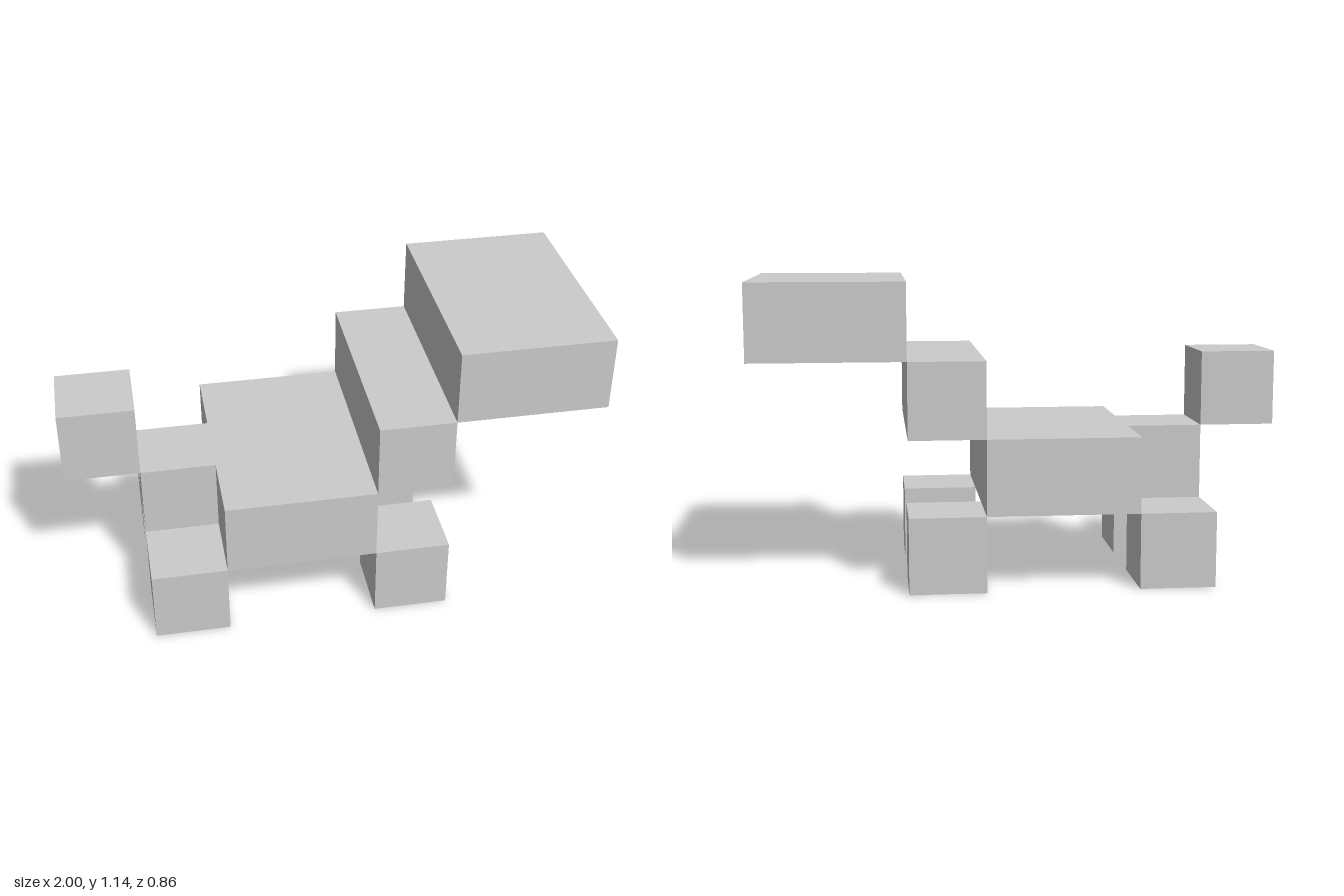
import * as THREE from 'three';

const U = 2 / 7; // one block; the model is seven blocks long

export function createModel() {
  const model = new THREE.Group();
  const material = new THREE.MeshStandardMaterial({ color: 0xcccccc, flatShading: true });

  // Box from block coordinates: x from the tail end, y from the ground, z from the middle
  function block(name, [x0, x1], [y0, y1], [z0, z1]) {
    const geometry = new THREE.BoxGeometry((x1 - x0) * U, (y1 - y0) * U, (z1 - z0) * U);
    const mesh = new THREE.Mesh(geometry, material);
    mesh.name = name;
    mesh.position.set(((x0 + x1) / 2 - 3.5) * U, ((y0 + y1) / 2) * U, ((z0 + z1) / 2) * U);
    model.add(mesh);
  }

  // Stepped body line from tail to head
  block('tail', [0, 1], [2, 3], [-0.5, 0.5]);
  block('rump', [1, 2], [1, 2], [-0.5, 0.5]);
  block('body', [2, 4], [1, 2], [-1.5, 1.5]);
  block('neck', [4, 5], [2, 3], [-1.5, 1.5]);
  block('head', [5, 7], [3, 4], [-1.5, 1.5]);

  // Four legs, touching the body at its corners
  for (const [side, z] of [['Near', 0.5], ['Far', -1.5]]) {
    block('rearLeg' + side, [1, 2], [0, 1], [z, z + 1]);
    block('foreLeg' + side, [4, 5], [0, 1], [z, z + 1]);
  }

  return model;
}
